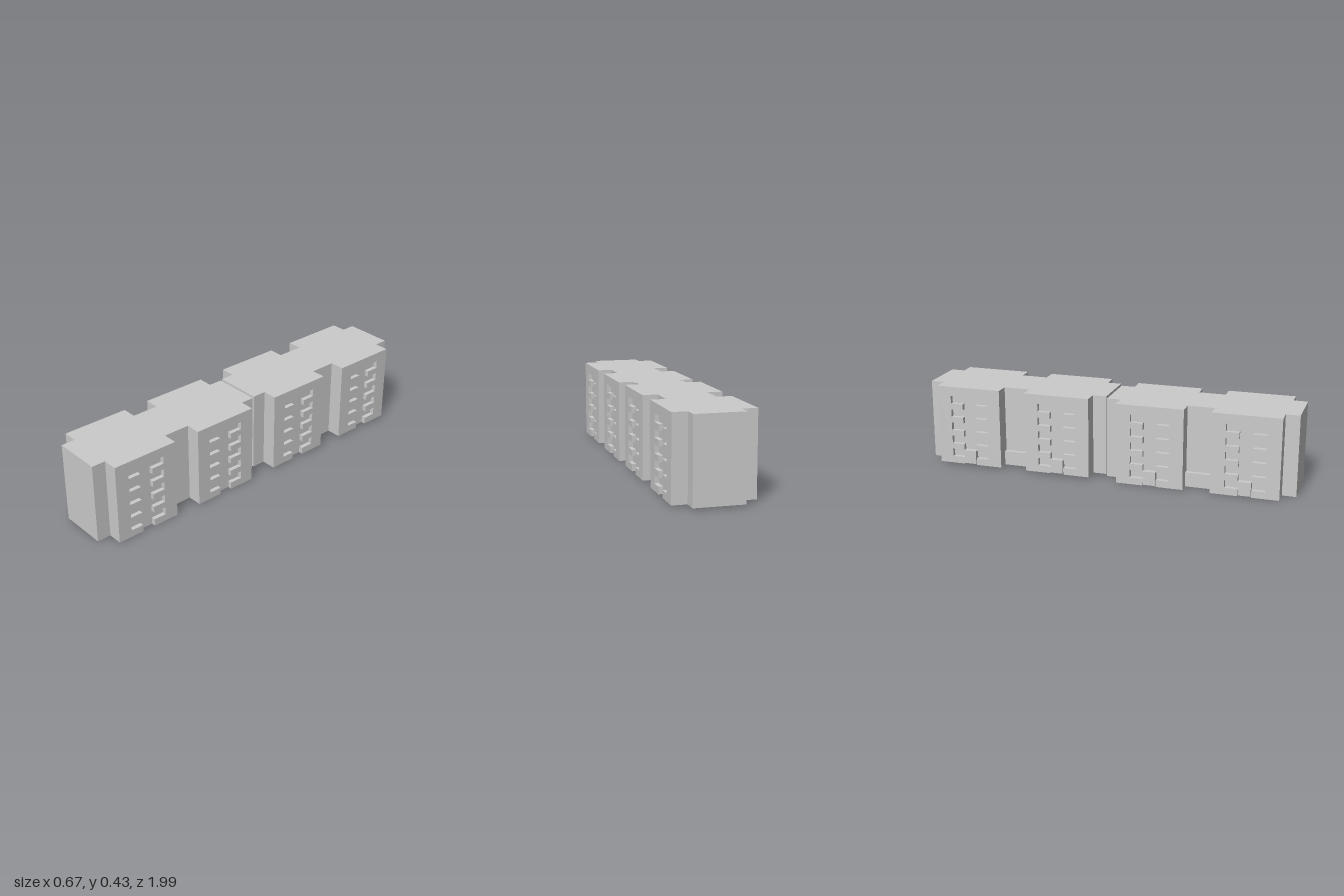
import * as THREE from 'three';

const H = 0.422;          // storey block height
const CORE_X = 0.126, CORE_Z = 0.4925;
const WING_X = 0.203, WING_IN = 0.07, WING_OUT = 0.42;
const DEPTH = 0.022;      // balcony recess depth
const FLOORS = 5, FLOOR_STEP = 0.0733;

const material = new THREE.MeshStandardMaterial({
  color: 0xcccccc, flatShading: true, side: THREE.DoubleSide,
});

function add(parent, name, geometry, x = 0, y = 0, z = 0) {
  const mesh = new THREE.Mesh(geometry, material);
  mesh.name = name;
  mesh.position.set(x, y, z);
  parent.add(mesh);
  return mesh;
}

// Plan of one section behind its facades: a core with two wings on each side
function planOutline() {
  const w = WING_X - DEPTH;
  const side = [
    [CORE_X, -CORE_Z], [CORE_X, -WING_OUT], [w, -WING_OUT], [w, -WING_IN], [CORE_X, -WING_IN],
    [CORE_X, WING_IN], [w, WING_IN], [w, WING_OUT], [CORE_X, WING_OUT], [CORE_X, CORE_Z],
  ];
  return [...side, ...side.map(([x, z]) => [-x, -z])];
}

// Vertical walls along a closed plan, open at the bottom
function wallGeometry(plan) {
  const pos = [];
  plan.forEach(([ax, ay], i) => {
    const [bx, by] = plan[(i + 1) % plan.length];
    pos.push(ax, 0, -ay, bx, 0, -by, bx, H, -by);
    pos.push(ax, 0, -ay, bx, H, -by, ax, H, -ay);
  });
  const g = new THREE.BufferGeometry();
  g.setAttribute('position', new THREE.Float32BufferAttribute(pos, 3));
  g.computeVertexNormals();
  return g;
}

// Facade slab with a central shaft and a pair of balcony openings on each floor
function facadeGeometry() {
  const half = (WING_OUT - WING_IN) / 2, shaft = 0.035, bay = 0.102;
  const right = [[shaft, 0]];
  for (let i = 0; i < FLOORS; i++) {
    const y = 0.037 + i * FLOOR_STEP, top = y + 0.041;
    right.push([shaft, y], [bay, y], [bay, top]);
    if (i < FLOORS - 1) right.push([shaft, top]);
  }
  const left = right.map(([x, y]) => [-x, y]).reverse();
  const points = [[half, 0], [half, H], [-half, H], [-half, 0], ...left.reverse(), ...right.reverse()];
  const shape = new THREE.Shape(points.map(([x, y]) => new THREE.Vector2(x, y)));
  return new THREE.ExtrudeGeometry(shape, { depth: DEPTH, bevelEnabled: false });
}

function buildSection(name) {
  const section = new THREE.Group();
  section.name = name;
  const plan = planOutline();

  add(section, 'walls', wallGeometry(plan));
  const roof = new THREE.ShapeGeometry(new THREE.Shape(plan.map(([x, y]) => new THREE.Vector2(x, y))));
  add(section, 'roof', roof.rotateX(-Math.PI / 2), 0, H, 0);

  const facade = facadeGeometry();
  const wingZ = (WING_IN + WING_OUT) / 2;
  for (const z of [-wingZ, wingZ]) {
    for (const s of [-1, 1]) {
      add(section, 'balconyFacade', facade, s * (WING_X - DEPTH), 0, z).rotation.y = s * Math.PI / 2;
    }
    // Entrance passage running in from the right-hand facade
    add(section, 'entrancePassage', new THREE.BoxGeometry(0.295, 0.072, 0.066), -0.06, 0.042, z);
  }

  // Low ledge between the two wings on the entrance side
  add(section, 'entranceLedge', new THREE.BoxGeometry(0.022, 0.075, 2 * WING_IN), -CORE_X - 0.011, 0.0375, 0);
  return section;
}

export function createModel() {
  const model = new THREE.Group();
  model.name = 'apartmentBlock';
  const row = new THREE.Group();
  row.name = 'sectionRow';
  row.rotation.y = -0.145;
  model.add(row);

  const front = buildSection('frontSection');
  front.position.set(-0.004, 0, 0.49);
  const rear = buildSection('rearSection');
  rear.position.set(0.001, 0.009, -0.5);
  row.add(front, rear);
  return model;
}
